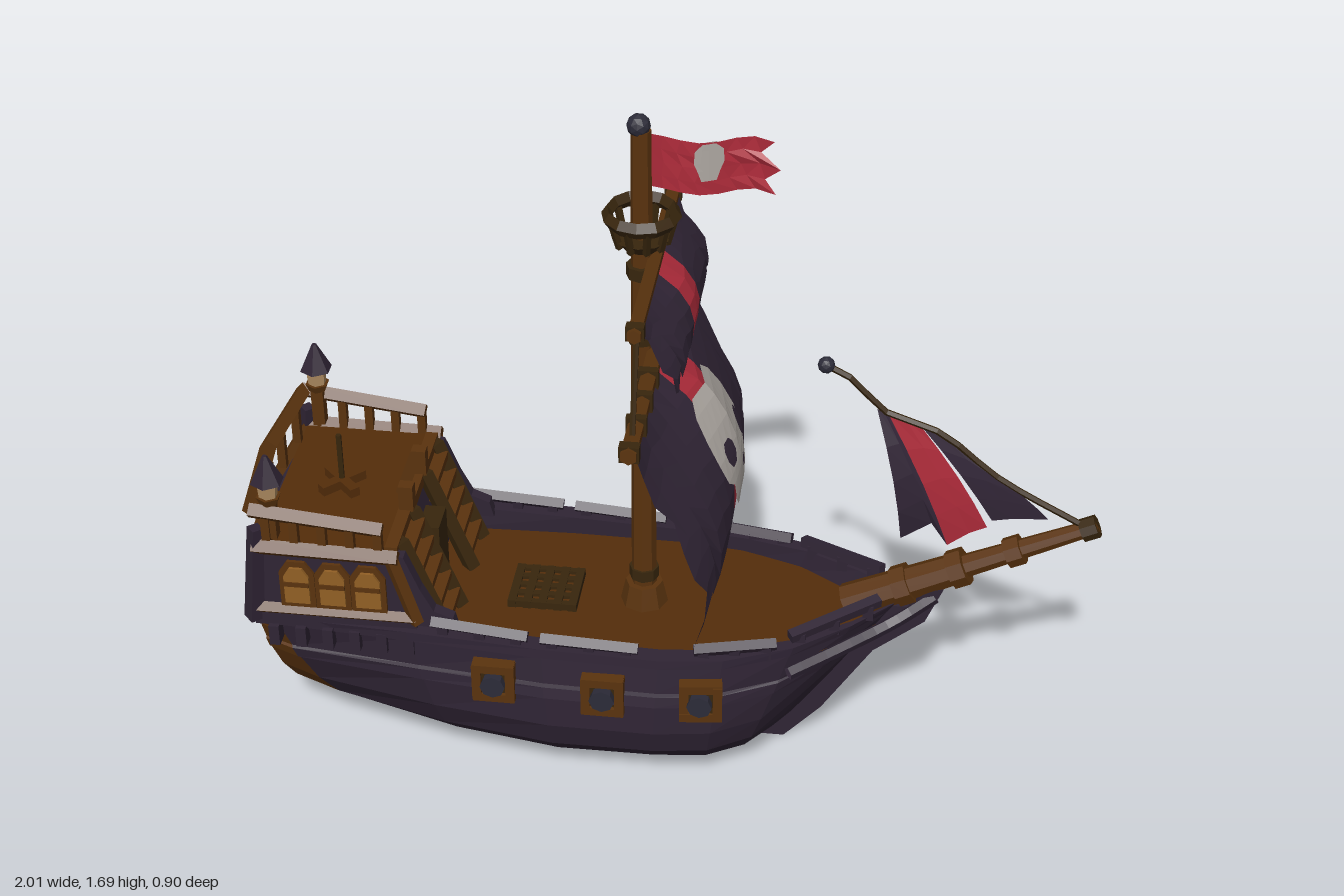
import * as THREE from 'three';

const mat = (name, color) => new THREE.MeshStandardMaterial({ name, color, flatShading: true, side: THREE.DoubleSide });
const V = (x, y, z) => new THREE.Vector3(x, y, z);
const lerp = THREE.MathUtils.lerp;

// Flat-shaded surface through rows of points
function grid(rows) {
  const p = [];
  for (let i = 0; i + 1 < rows.length; i++) for (let j = 0; j + 1 < rows[i].length; j++) {
    const a = rows[i][j], b = rows[i + 1][j], c = rows[i + 1][j + 1], d = rows[i][j + 1];
    for (const v of [a, b, c, a, c, d]) p.push(v.x, v.y, v.z);
  }
  const g = new THREE.BufferGeometry();
  g.setAttribute('position', new THREE.Float32BufferAttribute(p, 3));
  g.computeVertexNormals();
  return g;
}
const plate = (pts, depth) => new THREE.ExtrudeGeometry(new THREE.Shape(pts.map(p => new THREE.Vector2(...p))), { depth, bevelEnabled: false });

export function createModel() {
  const root = new THREE.Group();
  root.name = 'sailingShip';
  const purple = mat('darkPurplePaint', 0x2f2434), cloth = mat('darkSailcloth', 0x322637), red = mat('redCloth', 0xae2b3a);
  const bone = mat('boneWhite', 0xb0aaa4), wood = mat('wood', 0x5a330e), deckWood = mat('deckWood', 0x542d0a);
  const darkWood = mat('darkWood', 0x38260d), gold = mat('windowGold', 0x915f24), lamp = mat('lampLight', 0xb08d62), iron = mat('iron', 0x2c2b38);

  const add = (name, geo, m, x = 0, y = 0, z = 0) => {
    const o = new THREE.Mesh(geo, m);
    o.name = name;
    o.position.set(x, y, z);
    root.add(o);
    return o;
  };
  const box = (name, m, w, h, d, x, y, z) => add(name, new THREE.BoxGeometry(w, h, d), m, x, y, z);
  const cyl = (name, m, rt, rb, h, x, y, z, n = 8) => add(name, new THREE.CylinderGeometry(rt, rb, h, n), m, x, y, z);
  // Round or square bar between two points
  const rod = (name, m, a, b, r1, r2 = r1, n = 6) => {
    const o = cyl(name, m, r2, r1, a.distanceTo(b), 0, 0, 0, n);
    o.position.copy(a).lerp(b, 0.5);
    o.quaternion.setFromUnitVectors(V(0, 1, 0), b.clone().sub(a).normalize());
    return o;
  };
  const tube = (name, m, pts, r) => add(name, new THREE.TubeGeometry(new THREE.CatmullRomCurve3(pts), 12, r, 5), m);

  // Hull stations: keel x, rail x, half width, keel y, rail y, rake curve, bottom pinch
  const stations = [
    [-0.85, -0.98, 0.24, 0.03, 0.42, 0.4, 1], [-0.74, -0.93, 0.27, 0.02, 0.43, 0.75, 0.75], [-0.5, -0.6, 0.295, 0.02, 0.435, 1, 0.25],
    [-0.25, -0.28, 0.302, 0.02, 0.42, 1, 0], [-0.02, 0, 0.298, 0.02, 0.41, 1, 0], [0.1, 0.15, 0.278, 0.02, 0.41, 1, 0],
    [0.18, 0.31, 0.218, 0.025, 0.42, 1, 0], [0.23, 0.44, 0.125, 0.03, 0.43, 1, 0], [0.27, 0.54, 0.03, 0.03, 0.44, 1, 0]];
  // Half cross-section: width fraction, height fraction (with a wale and an inner bulwark)
  const profile = [[0, 0], [0.4, 0.015], [0.74, 0.12], [0.92, 0.27], [0.99, 0.45], [0.98, 0.66], [1.01, 0.67],
    [0.99, 0.74], [0.955, 0.75], [0.92, 0.93], [0.96, 0.94], [0.95, 1], [0.8, 1], [0.8, 0.84]];
  const section = ([xb, xt, w, b, t, rake, pinch]) => {
    const half = profile.map(([fz, fy]) => V(lerp(xb, xt, Math.pow(fy, rake)), lerp(b, t, fy), fz * w * lerp(1, Math.pow(fy, 0.55), pinch)));
    return [...half.slice(1).reverse().map(v => V(v.x, v.y, -v.z)), ...half];
  };
  const rings = stations.map(section);
  add('hull', grid(rings.slice(1)), purple);
  add('sternPlanking', grid(rings.slice(0, 2)), wood);
  const outer = rings[0].slice(2, -2);
  add('transom', grid([outer, outer.map(v => V(v.x, v.y, 0))]), wood);
  add('mainDeck', grid(stations.map(([, x, w]) => [V(x, 0.372, -w * 0.86), V(x, 0.372, w * 0.86)])), deckWood);

  // Stem and sternpost
  add('stem', plate([[0.19, 0], [0.28, 0], [0.37, 0.1], [0.49, 0.29], [0.61, 0.39], [0.65, 0.49], [0.61, 0.48],
    [0.57, 0.43], [0.5, 0.43], [0.36, 0.2], [0.26, 0.04]], 0.06), purple, 0, 0, -0.03);
  add('sternpost', plate([[-0.73, 0.015], [-0.86, 0.03], [-0.97, 0.22], [-1, 0.42], [-0.92, 0.42], [-0.9, 0.22], [-0.8, 0.06]], 0.06), wood, 0, 0, -0.03);

  // Parts mirrored on both sides of the hull
  for (const s of [1, -1]) {
    for (const [a, b, ya, yb, za, zb] of [[-0.54, -0.31, 0.458, 0.44, 0.262, 0.268], [-0.28, -0.05, 0.438, 0.424, 0.268, 0.262],
      [0.08, 0.27, 0.424, 0.43, 0.25, 0.21], [0.3, 0.5, 0.44, 0.468, 0.19, 0.06]]) {
      rod('bulwarkRail', purple, V(a, ya, s * za), V(b, yb, s * zb), 0.017, 0.017, 4);
      for (const t of [0.12, 0.5, 0.88]) box('railPost', purple, 0.025, 0.04, 0.025, lerp(a, b, t), lerp(ya, yb, t) - 0.02, s * lerp(za, zb, t));
    }
    tube('headRail', purple, [V(0.3, 0.35, s * 0.215), V(0.42, 0.37, s * 0.13), V(0.54, 0.4, s * 0.05), V(0.63, 0.46, s * 0.02)], 0.017);
    // Gun ports
    for (const [x, y, z, turn] of [[-0.39, 0.32, 0.288, 0], [-0.13, 0.305, 0.29, 0], [0.1, 0.3, 0.277, 0.12]]) {
      for (const k of [1, -1]) {
        box('portFrame', wood, 0.1, 0.022, 0.04, x, y + k * 0.042, s * z).rotation.y = s * turn;
        box('portFrame', wood, 0.022, 0.1, 0.04, x + k * 0.04, y, s * z).rotation.y = s * turn;
      }
      box('portLid', darkWood, 0.07, 0.07, 0.03, x, y, s * (z - 0.005));
      cyl('cannon', iron, 0.03, 0.026, 0.06, x, y, s * (z + 0.002)).rotation.x = s * Math.PI / 2;
    }
  }

  // Sterncastle with a bowed stern wall
  const body = new THREE.BoxGeometry(1, 1, 1, 1, 1, 2), bp = body.attributes.position;
  for (let i = 0; i < bp.count; i++) {
    const top = bp.getY(i) > 0, back = bp.getX(i) < 0, bow = bp.getZ(i) === 0 ? 0.025 : 0;
    bp.setXYZ(i, back ? (top ? -0.945 : -0.965) - bow : (top ? -0.63 : -0.575), top ? 0.635 : 0.43, Math.sign(bp.getZ(i)) * (top ? 0.255 : 0.258));
  }
  add('sterncastle', body, purple);
  box('castleSill', purple, 0.39, 0.035, 0.53, -0.77, 0.432, 0);
  box('poopDeck', deckWood, 0.31, 0.014, 0.48, -0.79, 0.637, 0);
  const paneShape = [[-0.03, -0.05], [0.03, -0.05], [0.03, 0.025], [0.015, 0.05], [-0.015, 0.05], [-0.03, 0.025]];
  const pane = plate(paneShape, 0.008);
  const addWindow = (x, z, ry) => {
    const f = add('windowFrame', pane, wood, x, 0.54, z), w = add('windowPane', pane, gold, x, 0.54, z);
    f.rotation.y = w.rotation.y = ry;
    f.scale.set(1.4, 1.3, 1);
    w.translateZ(0.007);
    const bar = box('windowBar', wood, 0.06, 0.012, 0.008, x, 0.545, z);
    bar.rotation.y = ry;
    bar.translateZ(0.014);
  };
  for (const s of [1, -1]) {
    for (const z of [0.165, 0.055]) addWindow(-0.978 + z * 0.1, s * z, -Math.PI / 2 + s * 0.1);
    for (const x of [-0.855, -0.77, -0.685]) addWindow(x, s * 0.257, s > 0 ? 0 : Math.PI);
    const lo = s * 0.26, hi = s * 0.26;
    rod('sternLowerBeam', wood, V(-0.965, 0.462, lo), V(-0.99, 0.462, 0), 0.017, 0.017, 4);
    rod('sternUpperBeam', wood, V(-0.95, 0.632, hi), V(-0.975, 0.632, 0), 0.017, 0.017, 4);
    rod('castleLowerBeam', wood, V(-0.965, 0.462, lo), V(-0.575, 0.462, lo), 0.017, 0.017, 4);
    rod('castleUpperBeam', wood, V(-0.955, 0.64, hi), V(-0.61, 0.635, hi), 0.022, 0.022, 4);
    rod('castleFrontPost', wood, V(-0.575, 0.45, lo), V(-0.63, 0.64, hi), 0.018, 0.018, 4);
    rod('castleRearPost', purple, V(-0.968, 0.43, lo), V(-0.945, 0.69, s * 0.255), 0.025, 0.02, 4);
    for (let i = 0; i < 6; i++) box('corbel', purple, 0.025, 0.055, 0.04, -0.92 + i * 0.065, 0.39, s * 0.257);
    // Curved wing wall between castle and bulwark
    add('wingWall', plate([[-0.63, 0.42], [-0.48, 0.42], [-0.49, 0.462], [-0.535, 0.48], [-0.565, 0.54], [-0.6, 0.63], [-0.63, 0.64]], 0.03),
      purple, 0, 0, s * 0.236 - 0.015);
    // Poop rail
    rod('poopRail', wood, V(-0.955, 0.74, s * 0.256), V(-0.645, 0.705, s * 0.25), 0.021, 0.021, 4);
    for (let i = 0; i < 5; i++) box('poopBaluster', wood, 0.02, 0.085, 0.02, -0.92 + i * 0.066, 0.682 - i * 0.005, s * 0.252);
    rod('sternRail', wood, V(-0.95, 0.74, s * 0.256), V(-0.975, 0.74, 0), 0.021, 0.021, 4);
    for (const z of [0.17, 0.06]) box('sternBaluster', wood, 0.02, 0.09, 0.02, -0.965 + z * 0.08, 0.69, s * z);
    rod('poopFrontRail', wood, V(-0.635, 0.695, s * 0.08), V(-0.635, 0.695, -s * 0.01), 0.015, 0.015, 4);
    box('poopFrontPost', wood, 0.035, 0.09, 0.03, -0.625, 0.67, s * 0.075);
    // Stern lantern
    box('lanternPost', wood, 0.03, 0.1, 0.03, -0.91, 0.71, s * 0.24);
    cyl('lanternBase', wood, 0.03, 0.022, 0.02, -0.91, 0.765, s * 0.24, 6);
    cyl('lanternGlass', lamp, 0.026, 0.022, 0.05, -0.91, 0.795, s * 0.24, 6);
    cyl('lanternRoof', purple, 0.006, 0.04, 0.07, -0.91, 0.85, s * 0.24, 6);
    // Steep stair from main deck to poop deck
    for (const z of [0.075, 0.205]) rod('stairSide', darkWood, V(-0.51, 0.37, s * z), V(-0.615, 0.645, s * z), 0.022, 0.022, 4);
    for (let i = 0; i < 5; i++) box('stairTread', wood, 0.045, 0.02, 0.12, -0.53 - i * 0.019, 0.415 + i * 0.05, s * 0.14);
  }
  box('poopFrontBeam', wood, 0.03, 0.03, 0.48, -0.63, 0.635, 0);
  box('cabinDoor', darkWood, 0.05, 0.2, 0.09, -0.585, 0.47, 0);
  rod('tiller', darkWood, V(-0.8, 0.64, 0), V(-0.8, 0.79, 0), 0.007);
  for (const a of [0.8, -0.8]) box('tillerFoot', deckWood, 0.12, 0.025, 0.025, -0.8, 0.655, 0).rotation.y = a;

  // Deck hatch
  box('hatch', deckWood, 0.15, 0.012, 0.13, -0.31, 0.377, 0);
  for (let i = -2; i <= 2; i++) {
    box('hatchBar', darkWood, 0.02, 0.02, 0.15, -0.31 + i * 0.037, 0.382, 0);
    box('hatchBar', darkWood, 0.165, 0.018, 0.016, -0.31, 0.382, i * 0.033);
  }

  // Mast and crow's nest
  const mx = -0.07;
  cyl('mast', wood, 0.023, 0.031, 1.28, mx, 1.01, 0);
  cyl('mastFoot', wood, 0.045, 0.058, 0.06, mx, 0.4, 0);
  for (const y of [0.46, 1.13, 1.3]) cyl('mastBand', darkWood, 0.036, 0.036, 0.03, mx, y, 0);
  add('mastBall', new THREE.IcosahedronGeometry(0.027, 1), iron, mx - 0.005, 1.66, 0);
  cyl('nestFloor', darkWood, 0.065, 0.045, 0.025, mx, 1.375, 0, 10);
  const rim = add('nestRim', new THREE.TorusGeometry(0.077, 0.013, 4, 12), darkWood, mx, 1.44, 0);
  rim.rotation.x = Math.PI / 2;
  rim.scale.z = 1.5;
  for (let i = 0; i < 10; i++) {
    const c = Math.cos(i * Math.PI / 5), s = Math.sin(i * Math.PI / 5);
    rod('nestPost', darkWood, V(mx + c * 0.056, 1.37, s * 0.056), V(mx + c * 0.075, 1.44, s * 0.075), 0.009, 0.009, 4);
  }

  // Yards and braces
  rod('mainYard', wood, V(-0.04, 1.075, -0.45), V(-0.04, 1.1, 0.45), 0.02, 0.02);
  rod('topYard', wood, V(-0.04, 1.32, -0.35), V(-0.04, 1.34, 0.35), 0.017, 0.017);
  for (const s of [1, -1]) {
    box('mainYardEnd', darkWood, 0.045, 0.04, 0.025, -0.04, 1.0875 + s * 0.012, s * 0.43);
    box('topYardEnd', darkWood, 0.04, 0.035, 0.025, -0.04, 1.33 + s * 0.009, s * 0.325);
    rod('brace', darkWood, V(-0.04, 1.09, s * 0.395), V(-0.04, 1.33, s * 0.3), 0.007);
    for (const z of [0.12, 0.22, 0.32]) box('yardLashing', darkWood, 0.046, 0.046, 0.02, -0.04, 1.0875 + s * z * 0.028, s * z);
  }

  // Square sails: ragged hem and side edges, with a red middle stripe; the belly sits lower towards the sides
  const zs = [0.42, 0.37, 0.31, 0.25, 0.19, 0.13, 0.07, 0, -0.07, -0.13, -0.19, -0.25, -0.31, -0.37, -0.42];
  const belly = (top, drop, depth, lag) => (y, z) =>
    -0.03 + depth * Math.sin(2.2 * Math.pow(Math.max(0, top - y) / drop, 0.7 + lag * Math.abs(z))) * (1 - z * z);
  const mainX = belly(1.08, 0.52, 0.185, 1.7), topX = belly(1.325, 0.2, 0.085, 2.2);
  function sail(name, top, hem, fray, width, xAt) {
    const cols = zs.map((z, i) => fray.map((f, k) => {
      const y = lerp(top, hem[i], k / (fray.length - 1));
      const zz = z * width * (Math.abs(z) > 0.4 ? (z > 0 ? f : fray[(k + 3) % fray.length]) : 1);
      return V(xAt(y, zz), y, zz);
    }));
    add(name + 'Left', grid(cols.slice(0, 7)), cloth);
    add(name + 'Stripe', grid(cols.slice(6, 9)), red);
    add(name + 'Right', grid(cols.slice(8)), cloth);
  }
  sail('mainSail', 1.08, [0.58, 0.6, 0.68, 0.59, 0.6, 0.58, 0.59, 0.58, 0.58, 0.6, 0.59, 0.6, 0.67, 0.5, 0.49],
    [0.99, 0.98, 1.01, 0.93, 1, 1.02, 0.92, 0.97, 1.03], 1, mainX);
  sail('topSail', 1.325, [1.18, 1.16, 1.2, 1.14, 1.15, 1.13, 1.12, 1.12, 1.12, 1.15, 1.14, 1.13, 1.17, 1.12, 1.13],
    [1.02, 0.93, 0.98, 1.03, 0.95, 1], 0.74, topX);

  // Skull painted on both faces of the main sail: rows of height and half width
  const skull = [[1.01, 0.075], [0.98, 0.11], [0.93, 0.13], [0.87, 0.135], [0.82, 0.125], [0.795, 0.092], [0.75, 0.09], [0.72, 0.06]];
  const eye = [[0.9, 0.014], [0.885, 0.027], [0.86, 0.029], [0.838, 0.014]], nose = [[0.825, 0.004], [0.795, 0.014]];
  const paint = (name, rows, zc, off, m) => add(name, grid(rows.map(([y, w]) =>
    [-1, -0.75, -0.5, -0.25, 0, 0.25, 0.5, 0.75, 1].map(f => V(mainX(y, zc + f * w) + off, y, zc + f * w)))), m);
  for (const s of [1, -1]) {
    paint('skull', skull, 0, s * 0.008, bone);
    for (const e of [1, -1]) paint('skullEye', eye, e * 0.07, s * 0.014, cloth);
    paint('skullNose', nose, 0, s * 0.014, cloth);
  }

  // Flag
  const wave = x => 0.022 * Math.sin((x + 0.05) * 22);
  const flagEnd = [0.22, 0.19, 0.235, 0.2, 0.225];
  add('flag', grid(flagEnd.map((end, k) => [0, 0.14, 0.28, 0.42, 0.56, 0.7, 0.84, 1].map(t => {
    const x = lerp(-0.06, end, t);
    return V(x, 1.64 - k * 0.032 - 0.008 * t + 0.006 * Math.sin(t * 9), wave(x));
  }))), red);
  for (const s of [1, -1]) add('flagSkull', grid([[1.63, 0.014], [1.615, 0.03], [1.585, 0.032], [1.565, 0.024], [1.54, 0.016]].map(([y, w]) =>
    [-1, -0.5, 0, 0.5, 1].map(f => V(0.08 + f * w, y, wave(0.08 + f * w) + s * 0.005)))), bone);

  // Bowsprit
  const tip = V(1, 0.69, 0), heel = V(0.42, 0.41, 0), at = t => heel.clone().lerp(tip, t);
  rod('bowspritHeel', wood, heel, at(0.45), 0.045, 0.038, 8);
  rod('bowspritPole', wood, at(0.4), at(0.99), 0.03, 0.019, 8);
  for (const [t, r] of [[0.2, 0.05], [0.42, 0.047], [0.64, 0.037], [0.93, 0.028]]) rod('bowspritBand', t > 0.9 ? darkWood : wood, at(t), at(t + 0.06), r, r, 8);

  // Jib: torn strips fanning from the stay, given by head and foot points
  const strip = (name, m, head, foot, curl) => add(name, grid(head.map(([x, y], i) => [0, 0.25, 0.5, 0.75, 1].map(t => {
    const b = Math.sin(Math.PI * t);
    return V(lerp(x, foot[i][0], t) + 0.012 * b, lerp(y, foot[i][1], t), curl * b * (1 - i * 0.3));
  }))), m);
  strip('jibAft', cloth, [[0.47, 0.97], [0.485, 0.965], [0.495, 0.96]], [[0.54, 0.61], [0.61, 0.66], [0.65, 0.6]], 0.03);
  strip('jibStripe', red, [[0.495, 0.96], [0.53, 0.955], [0.565, 0.94]], [[0.65, 0.6], [0.7, 0.64], [0.74, 0.66]], 0.015);
  strip('jibFore', cloth, [[0.565, 0.94], [0.63, 0.905], [0.72, 0.83]], [[0.75, 0.68], [0.8, 0.69], [0.88, 0.695]], 0.01);
  tube('forestay', darkWood, [V(0.35, 1.08, 0), V(0.42, 1.04, 0), V(0.48, 0.97, 0), V(0.62, 0.915, 0), V(0.76, 0.8, 0), V(0.97, 0.68, 0)], 0.008);
  add('stayBall', new THREE.IcosahedronGeometry(0.02, 1), iron, 0.35, 1.08, 0);

  return root;
}
